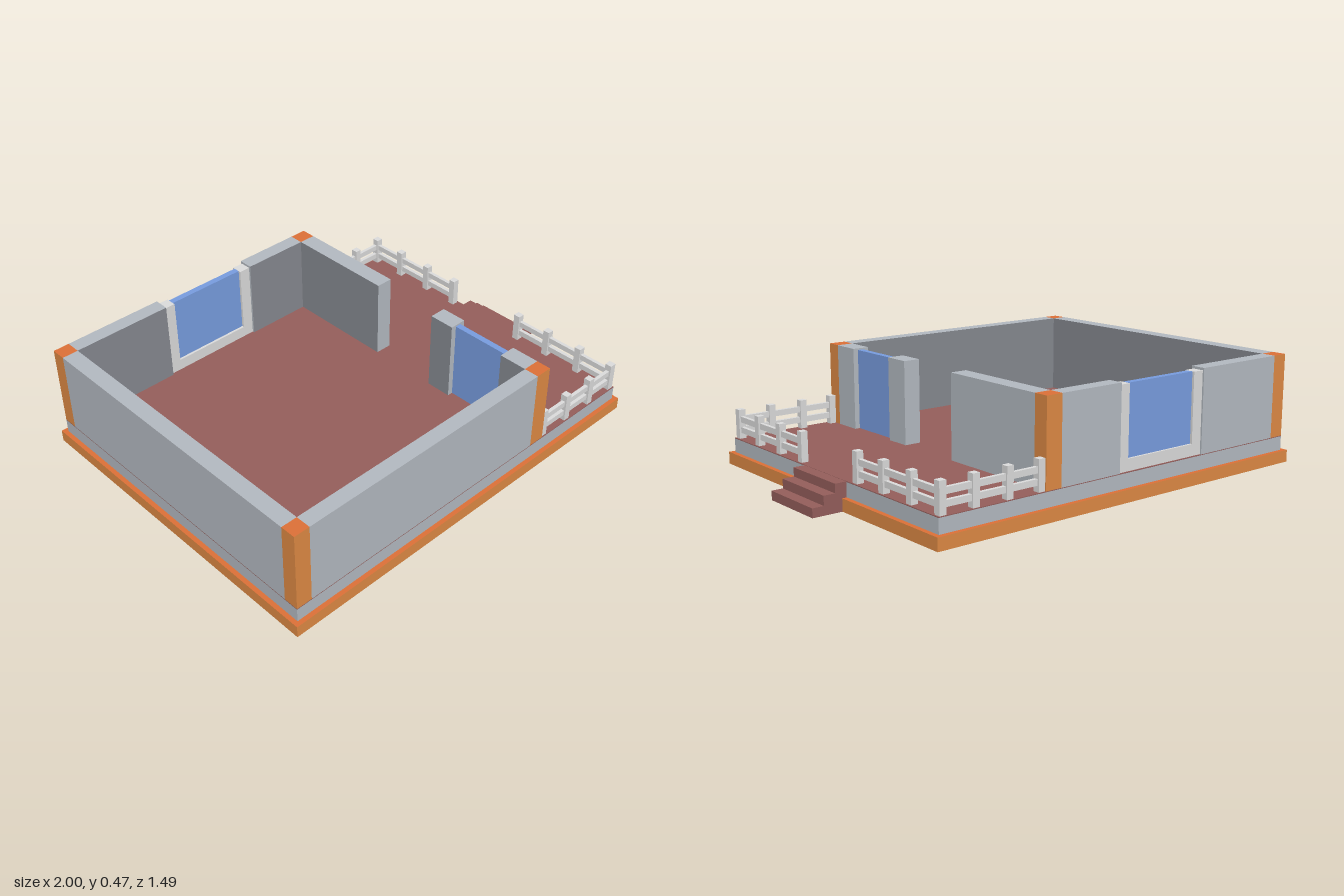
import * as THREE from 'three';

const mat = (name, color, opts = {}) => {
  const m = new THREE.MeshStandardMaterial({ color, ...opts });
  m.name = name;
  return m;
};

export function createModel() {
  const model = new THREE.Group();
  model.name = 'house';

  const grey = mat('wall grey', 0xb4bac1);
  const darkGrey = mat('interior grey', 0x868990);
  const orange = mat('orange', 0xde8a44);
  const terracotta = mat('terracotta', 0xde7138);
  const brown = mat('floor brown', 0x955e5b);
  const blue = mat('glass blue', 0x789de0);
  const white = mat('trim white', 0xdcdcdc);

  // Box given by its extents; material may be an array of six faces
  function box(name, material, x0, x1, y0, y1, z0, z1, parent = model) {
    const g = new THREE.BoxGeometry(x1 - x0, y1 - y0, z1 - z0);
    const m = new THREE.Mesh(g, material);
    m.name = name;
    m.position.set((x0 + x1) / 2, (y0 + y1) / 2, (z0 + z1) / 2);
    parent.add(m);
    return m;
  }
  // Face order: +x, -x, +y, -y, +z, -z
  const capped = [orange, orange, terracotta, orange, orange, orange];
  const faceGrey = (dark) => Array.from({ length: 6 }, (_, i) => (i === dark ? darkGrey : grey));

  const F = 0.115, T = 0.47;            // floor level, wall top
  const XL = -0.98, XLi = -0.91;        // left wall
  const XR = 0.365, XRi = 0.29;         // right wall
  const ZO = 0.725, ZI = 0.66;          // front and back walls

  // Ground slab, foundation and floor
  box('baseSlab', capped, -1, 0.87, 0, 0.052, -0.745, 0.745);
  box('foundation', grey, XL, 0.85, 0.052, 0.112, -ZO, ZO);
  box('floor', brown, XL, 0.85, 0.112, F, -ZO, ZO);

  // Corner posts
  for (const [x0, x1] of [[XL, XLi], [XRi, XR]]) {
    box('cornerPost', capped, x0, x1, F, T, ZI, ZO);
    box('cornerPost', capped, x0, x1, F, T, -ZO, -ZI);
  }

  // Outer walls, darker on their inner faces
  box('leftWall', faceGrey(0), XL, XLi, F, T, -ZI, ZI);
  box('frontWall', faceGrey(5), XLi, XRi, F, T, ZI, ZO);
  box('backWall', faceGrey(4), XLi, -0.47, F, T, -ZO, -ZI);
  box('backWall', faceGrey(4), -0.01, XRi, F, T, -ZO, -ZI);
  for (const [z0, z1] of [[-ZI, -0.16], [0.155, 0.27], [0.535, ZI]]) {
    box('entranceWall', faceGrey(1), XRi, XR, F, T, z0, z1);
  }

  // Glass beside the doorway
  box('sideWindow', blue, 0.315, 0.342, F, 0.463, 0.27, 0.535);

  // Back window: jambs, sill and pane
  const backWindow = new THREE.Group();
  backWindow.name = 'backWindow';
  model.add(backWindow);
  box('jamb', white, -0.47, -0.42, F, 0.46, -0.718, -0.669, backWindow);
  box('jamb', white, -0.06, -0.01, F, 0.46, -0.718, -0.669, backWindow);
  box('sill', white, -0.42, -0.06, F, 0.165, -0.718, -0.669, backWindow);
  box('pane', blue, -0.42, -0.06, 0.165, 0.46, -0.708, -0.68, backWindow);

  // Entrance steps
  for (const [x1, y1] of [[0.9, 0.114], [0.95, 0.077], [1, 0.038]]) {
    box('step', brown, x1 === 0.9 ? 0.84 : x1 - 0.05, x1, 0, y1, -0.15, 0.15);
  }

  // Porch fence, mirrored front to back
  const railHeights = [[0.14, 0.165], [0.186, 0.211]];
  for (const s of [1, -1]) {
    const fence = new THREE.Group();
    fence.name = 'fence';
    model.add(fence);
    const zSide = s * 0.706, xEnd = 0.828;
    const post = (x, z) =>
      box('fencePost', white, x - 0.015, x + 0.015, F, 0.24, z - 0.015, z + 0.015, fence);
    for (const x of [0.381, 0.53, 0.683, xEnd]) post(x, zSide);
    for (const z of [0.198, 0.367, 0.541]) post(xEnd, s * z);
    for (const [y0, y1] of railHeights) {
      box('sideRail', white, 0.38, xEnd, y0, y1, zSide - 0.008, zSide + 0.008, fence);
      const [za, zb] = s > 0 ? [0.198, 0.706] : [-0.706, -0.198];
      box('endRail', white, xEnd - 0.008, xEnd + 0.008, y0, y1, za, zb, fence);
    }
  }

  return model;
}
